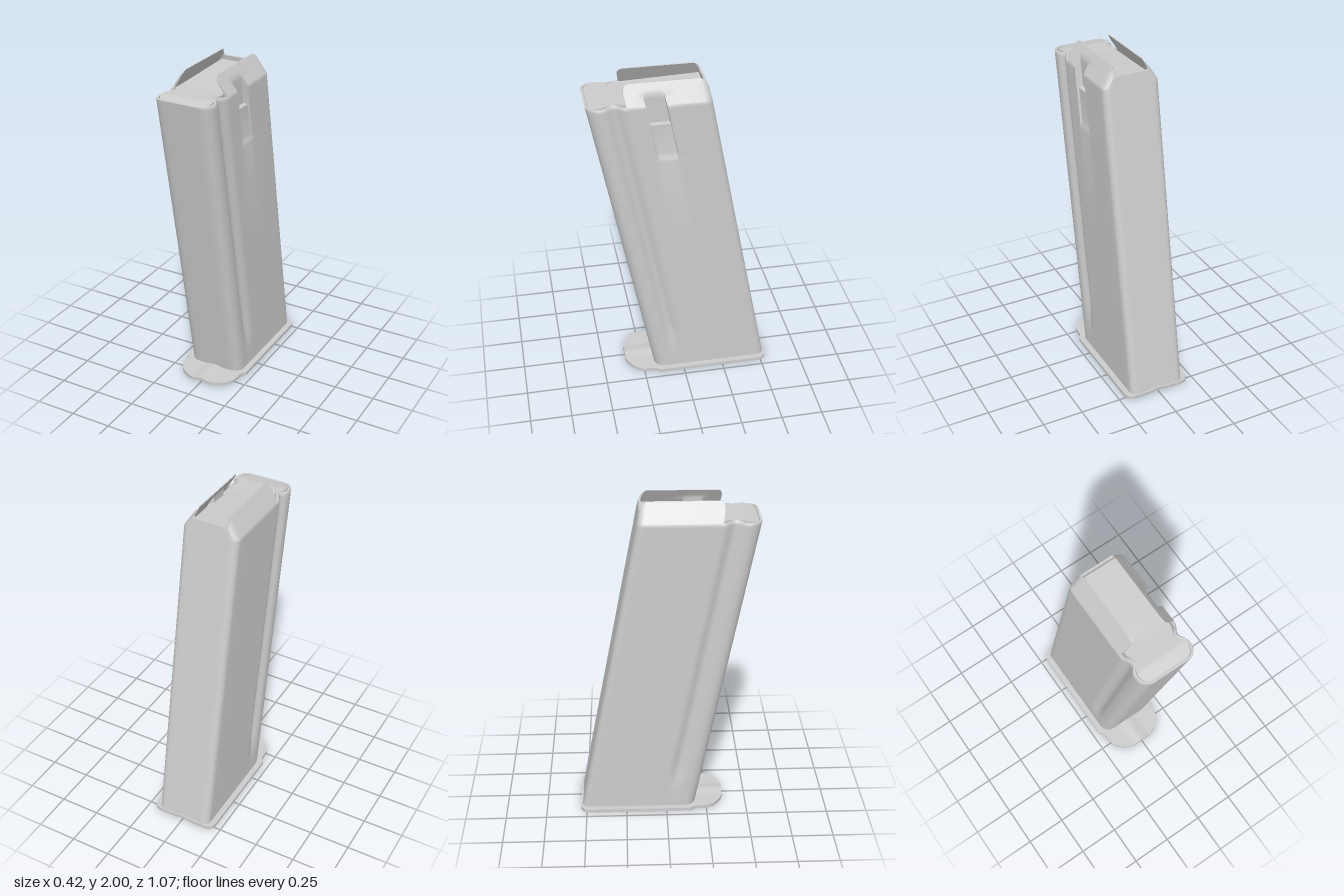
import * as THREE from 'three';
import { toCreasedNormals } from 'three/addons/utils/BufferGeometryUtils.js';

const SHEAR = 0.193;                 // lean of the body: z gained per unit of height
const HALF = 0.175, FRONT = 0.175, BACK = -0.53;
const R_FRONT = 0.065, R_BACK = 0.04, WALL = 0.014;
const { smoothstep, lerp } = THREE.MathUtils;

// Piecewise-linear lookup through [position, value] pairs
function ramp(keys, v) {
  if (v <= keys[0][0]) return keys[0][1];
  for (let i = 1; i < keys.length; i++) {
    const [a, p] = keys[i - 1], [b, q] = keys[i];
    if (v <= b) return lerp(p, q, (v - a) / (b - a));
  }
  return keys[keys.length - 1][1];
}

// Pressed groove along each side, near the front
const groove = (w) => {
  const t = Math.abs(w - 0.025) / 0.06;
  return t < 1 ? 0.026 * (0.5 + 0.5 * Math.cos(Math.PI * t)) : 0;
};

// Rounded cross-section, inset by d, running front -> +x side -> back -> -x side
function section(d) {
  const half = [[0, FRONT - d], [0.055, FRONT - d]];
  const arc = (r, w, a0) => {
    for (let i = 0; i <= 8; i++) {
      const a = a0 + (i / 8) * Math.PI / 2;
      half.push([HALF - r + (r - d) * Math.sin(a), w + (r - d) * Math.cos(a)]);
    }
  };
  arc(R_FRONT, FRONT - R_FRONT, 0);
  for (const w of [0.085, 0.07, 0.055, 0.04, 0.025, 0.01, -0.005, -0.02, -0.035, -0.046, -0.05,
    -0.056, -0.065, -0.08, -0.12, -0.153, -0.155, -0.168, -0.2125, -0.257, -0.27, -0.272, -0.35, -0.44])
    half.push([HALF - d, w]);
  arc(R_BACK, BACK + R_BACK, Math.PI / 2);
  half.push([0.1, BACK + d], [0, BACK + d]);
  return [...half, ...half.slice(1, -1).reverse().map(([x, w]) => [-x, w])];
}

// Height of the wall's upper edge: low front, tall feed lips, lower back
function topEdge(w) {
  if (w > -0.048) return 1.89 + 0.01 * smoothstep(groove(w), 0, 0.02);
  const t = Math.max(0, (BACK + R_BACK - w) / R_BACK);
  return ramp([[-0.08, 2], [-0.065, 1.993], [-0.056, 1.98], [-0.05, 1.965]], w) - 0.05 * t * t;
}

// Place a section point at a height, with groove, lip slant and catch recess
function wallPoint([x0, w], y, d) {
  let x = Math.abs(x0);
  if (w < 0.09 && w > -0.04) x -= groove(w) * smoothstep(y, 0.1, 0.35);
  x *= 1 - 0.43 * Math.max(0, y - 1.885) / 0.115;
  if (x0 > 0 && w < -0.154 && w > -0.271) {
    if (y > 1.767) x = Math.min(x, 0.135 - d);
    else x -= 0.014 * smoothstep(y, 1.53, 1.58);
  }
  return [Math.sign(x0) * x, y, w + SHEAR * y];
}

// Thick-walled tube: rows go up the outside and back down the inside
function bodyGeometry() {
  const heights = [0.02, 0.1, 0.16, 0.22, 0.28, 0.35, 0.9, 1.53, 1.545, 1.56, 1.58, 1.765, 1.769,
    1.87, 1.885, 1.892, 1.9, 1.92, 1.944, 1.948, 1.965, 1.98, 1.993, 2];
  const outer = section(0), inner = section(WALL), n = outer.length;
  const tops = outer.map((p) => topEdge(p[1]));
  const rowOf = (pts, d) => (y) => pts.map((p, i) => wallPoint(p, Math.min(y, tops[i]), d));
  const rows = [...heights.map(rowOf(outer, 0)), ...[...heights].reverse().map(rowOf(inner, WALL))];
  const pos = [];
  const tri = (a, b, c) => {
    const t = new THREE.Triangle(...[a, b, c].map((p) => new THREE.Vector3(...p)));
    if (t.getArea() > 1e-9) pos.push(...a, ...b, ...c);
  };
  for (let j = 0; j + 1 < rows.length; j++)
    for (let i = 0; i < n; i++) {
      const k = (i + 1) % n;
      tri(rows[j][i], rows[j][k], rows[j + 1][k]);
      tri(rows[j][i], rows[j + 1][k], rows[j + 1][i]);
    }
  const g = new THREE.BufferGeometry();
  g.setAttribute('position', new THREE.Float32BufferAttribute(pos, 3));
  return toCreasedNormals(g, 0.6);
}

// Flat slab whose half width follows z and whose faces follow height rules
function slabGeometry(z0, z1, halfWidth, bottom, top) {
  const g = new THREE.BoxGeometry(2, 1, 2, 28, 1, 60), p = g.attributes.position;
  for (let i = 0; i < p.count; i++) {
    const s = Math.sin(p.getZ(i) * Math.PI / 2);       // rows gather at both ends
    const z = lerp(z0, z1, (s + 1) / 2), x = p.getX(i) * halfWidth(z);
    p.setXYZ(i, x, p.getY(i) > 0 ? top(x, z) : bottom(x, z), z);
  }
  return toCreasedNormals(g.toNonIndexed(), 0.6);
}

export function createModel() {
  const model = new THREE.Group();
  const material = new THREE.MeshStandardMaterial({ color: 0xcccccc });
  const add = (name, geometry) => {
    const mesh = new THREE.Mesh(geometry, material);
    mesh.name = name;
    model.add(mesh);
  };

  add('body', bodyGeometry());

  // Floor plate: wide flange, stepped in to a tongue at the front, with a centre ridge
  const plateOutline = [[-0.535, 0.165], [-0.53, 0.182], [-0.52, 0.196], [-0.505, 0.206], [-0.485, 0.21],
    [0.15, 0.21], [0.163, 0.205], [0.175, 0.188], [0.25, 0.184], [0.275, 0.175], [0.3, 0.158],
    [0.325, 0.13], [0.345, 0.095], [0.355, 0.06]];
  const ridge = (x) => 0.01 * Math.exp(-((x / 0.04) ** 2));
  add('floorPlate', slabGeometry(-0.535, 0.355, (z) => ramp(plateOutline, z),
    (x) => ridge(x), (x) => 0.021 + ridge(x)));

  // Follower: platform between the lips, dropping at its front edge
  const followerOutline = [[-0.14, 0.122], [0.3, 0.14], [0.45, 0.156], [0.475, 0.156], [0.5, 0.148],
    [0.515, 0.135], [0.523, 0.115]];
  const followerTop = (x, z) => ramp([[-0.14, 1.925], [0.3, 1.9], [0.45, 1.9], [0.523, 1.885]], z);
  add('follower', slabGeometry(-0.14, 0.523,
    (z) => ramp(followerOutline, z) - 0.9 * groove(z - SHEAR * 1.89),
    (x, z) => followerTop(x, z) - 0.03, followerTop));

  return model;
}
